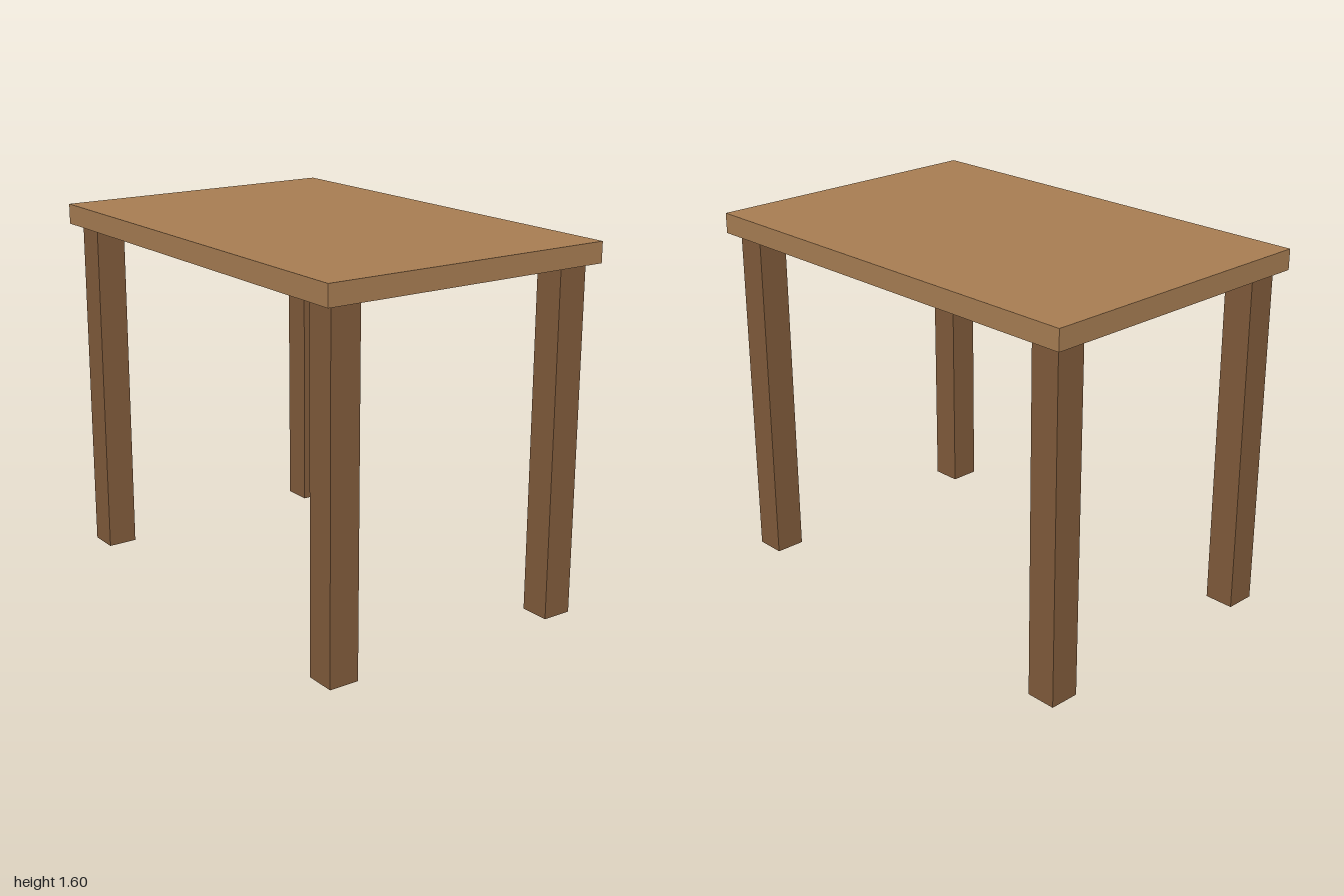
import * as THREE from 'three';

export function createModel() {
  const table = new THREE.Group();
  table.name = 'table';

  const topWood = new THREE.MeshStandardMaterial({ color: 0xa67c52 });
  topWood.name = 'light wood';
  const legWood = new THREE.MeshStandardMaterial({ color: 0x7f5a3a });
  legWood.name = 'dark wood';

  const height = 1.6, slab = 0.089, legSize = 0.133;
  const legHeight = height - slab;

  // Table top
  const top = new THREE.Mesh(new THREE.BoxGeometry(2, slab, 1.333), topWood);
  top.name = 'tableTop';
  top.position.y = height - slab / 2;
  table.add(top);

  // Four square legs, set in slightly from the corners
  const legGeometry = new THREE.BoxGeometry(legSize, legHeight, legSize);
  for (const [sideName, x] of [['Left', 0.889], ['Right', -0.889]]) {
    for (const [endName, z] of [['front', 0.556], ['back', -0.556]]) {
      const leg = new THREE.Mesh(legGeometry, legWood);
      leg.name = `${endName}${sideName}Leg`;
      leg.position.set(x, legHeight / 2, z);
      table.add(leg);
    }
  }

  return table;
}
